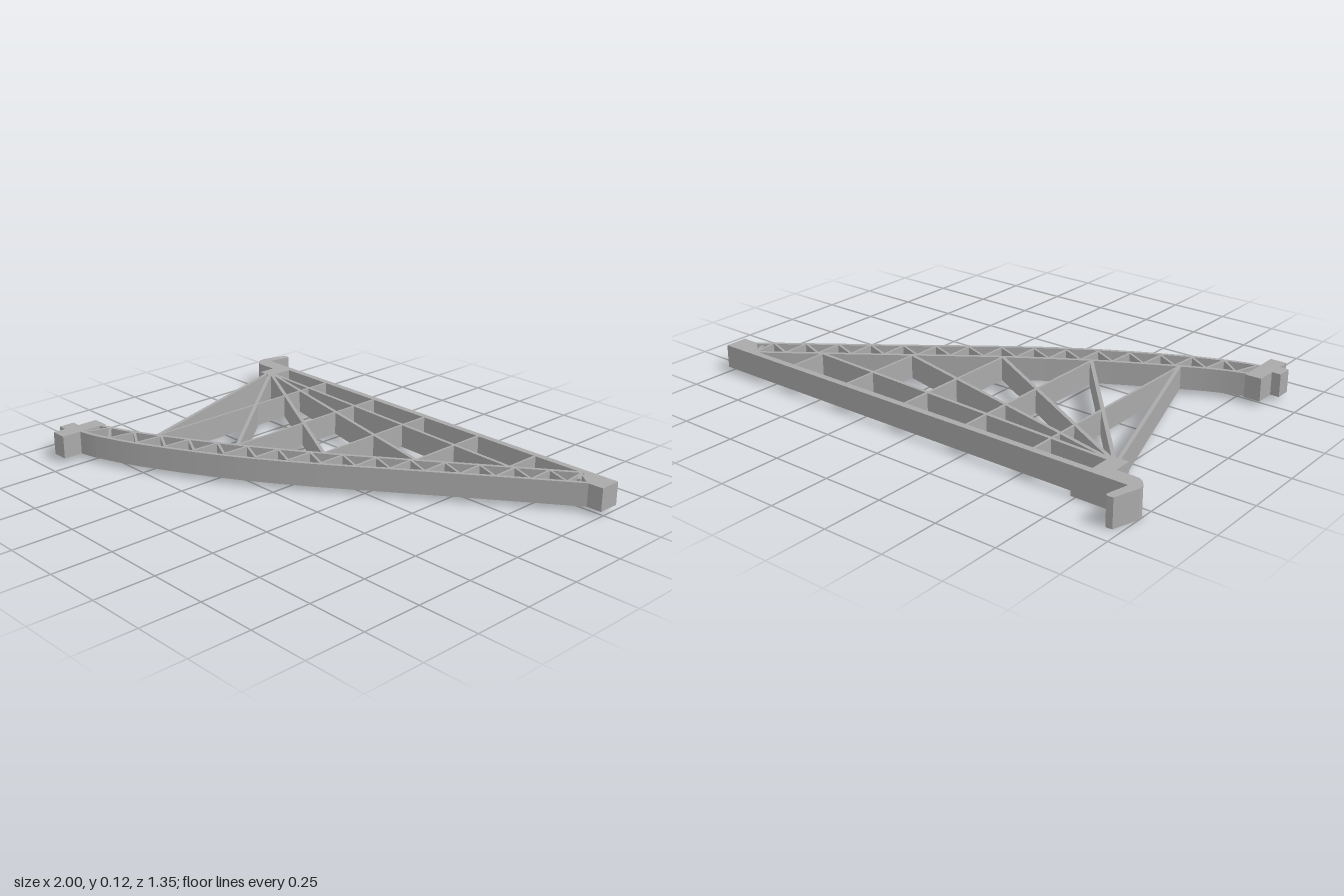
import * as THREE from 'three';

const BASE = 0.02, TOP = 0.115;
const grey = new THREE.MeshStandardMaterial({ color: 0xaaaaaa });
grey.name = 'plain grey';

// Prism from a plan outline of [x, z] points, between two heights
function slab(name, points, y0 = BASE, y1 = TOP) {
  const shape = new THREE.Shape(points.map(([x, z]) => new THREE.Vector2(x, -z)));
  const geo = new THREE.ExtrudeGeometry(shape, { depth: y1 - y0, bevelEnabled: false });
  geo.rotateX(-Math.PI / 2).translate(0, y0, 0);
  const mesh = new THREE.Mesh(geo, grey);
  mesh.name = name;
  return mesh;
}

const rect = (x0, z0, x1, z1) => [[x0, z0], [x1, z0], [x1, z1], [x0, z1]];

// Straight upright strip between two plan points
function strut(name, [x0, z0], [x1, z1], width, y0 = BASE, y1 = TOP) {
  const len = Math.hypot(x1 - x0, z1 - z0);
  const mesh = new THREE.Mesh(new THREE.BoxGeometry(len, y1 - y0, width), grey);
  mesh.position.set((x0 + x1) / 2, (y0 + y1) / 2, (z0 + z1) / 2);
  mesh.rotation.y = -Math.atan2(z1 - z0, x1 - x0);
  mesh.name = name;
  return mesh;
}

const spline = pts => new THREE.SplineCurve(pts.map(([x, z]) => new THREE.Vector2(x, z)));

// Curved chord: one plan edge is the curve, the other is offset to one side
function chord(name, curve, offset) {
  const n = 48, edge = [], back = [];
  for (let i = 0; i <= n; i++) {
    const p = curve.getPoint(i / n), t = curve.getTangent(i / n);
    edge.push([p.x, p.y]);
    back.unshift([p.x - t.y * offset, p.y + t.x * offset]);
  }
  return slab(name, [...edge, ...back]);
}

// Point on a curve at a given x
function atX(curve, x) {
  let lo = 0, hi = 1;
  for (let i = 0; i < 30; i++) {
    const mid = (lo + hi) / 2;
    if (curve.getPoint(mid).x < x) lo = mid; else hi = mid;
  }
  return { p: curve.getPoint(lo), t: curve.getTangent(lo) };
}

export function createModel() {
  const model = new THREE.Group();
  model.name = 'trussFrame';

  // Straight back rail and its end block
  model.add(slab('backRail', rect(-0.82, -0.578, 0.9, -0.55)));
  model.add(slab('railEndBlock', [[0.87, -0.578], [1, -0.578], [1, -0.484], [0.93, -0.484], [0.87, -0.53]]));

  // Hooked corner, reaching lower than the rest, with its foot under the rail
  model.add(slab('cornerHook', [
    [-0.945, -0.68], [-0.968, -0.677], [-1, -0.575], [-0.997, -0.55], [-0.98, -0.525], [-0.955, -0.512],
    [-0.866, -0.512], [-0.866, -0.436], [-0.797, -0.436], [-0.797, -0.578],
    [-0.957, -0.578], [-0.936, -0.67],
  ], 0));
  model.add(slab('railFoot', rect(-0.8, -0.578, -0.73, -0.55), 0, BASE));

  // Curved truss chords
  const inner = spline([[-0.81, 0.482], [-0.7, 0.445], [-0.556, 0.377], [-0.25, 0.208],
    [0.05, 0.015], [0.337, -0.19], [0.63, -0.402], [0.85, -0.56]]);
  const outer = spline([[-0.81, 0.593], [-0.7, 0.568], [-0.5, 0.488], [-0.18, 0.318],
    [0.086, 0.142], [0.353, -0.056], [0.62, -0.254], [0.935, -0.484]]);
  model.add(chord('innerChord', inner, 0.016));
  model.add(chord('outerChord', outer, -0.016));

  // Zigzag lacing between the chords
  const lacing = new THREE.Group();
  lacing.name = 'lacing';
  const pitch = 0.1077;
  const onInner = x => {
    const { p, t } = atX(inner, x);
    return [p.x - t.y * 0.01, p.y + t.x * 0.01];
  };
  const onOuter = x => {
    const { p, t } = atX(inner, x);
    return [p.x - t.y * 0.107, p.y + t.x * 0.107];
  };
  for (let i = 0; i < 16; i++) {
    const x = -0.755 + i * pitch, node = onInner(x);
    if (i > 0) lacing.add(strut('lace', onOuter(x - pitch / 2), node, 0.01));
    else lacing.add(strut('lace', [-0.79, 0.585], node, 0.01));
    if (i < 15) lacing.add(strut('lace', node, onOuter(x + pitch / 2), 0.01));
    else lacing.add(strut('lace', node, [0.885, -0.49], 0.01));
  }
  model.add(lacing);

  // Fan braces from the hooked corner and cross ribs from the rail
  const starts = [[-0.83, -0.445], [-0.815, -0.45], [-0.81, -0.455], [-0.81, -0.46], [-0.81, -0.463]];
  [-0.553, -0.251, 0.045, 0.34, 0.631].forEach((x, i) => {
    const end = atX(inner, x).p, start = starts[i], tip = [end.x, end.y + 0.006];
    model.add(strut('fanBrace', start, tip, 0.015));
    model.add(strut('crossRib', [x, -0.555], tip, 0.01));
    // Short foot under the braces that lean along the rail
    if (i > 1) {
      const f = (-0.735 - start[0]) / (tip[0] - start[0]);
      model.add(strut('braceFoot', start, [-0.735, start[1] + f * (tip[1] - start[1])], 0.015, 0, BASE));
    }
  });

  // Front end cap with side tab
  model.add(slab('frontEndCap', [
    [-0.866, 0.468], [-0.797, 0.468], [-0.797, 0.672], [-0.866, 0.672],
    [-0.866, 0.618], [-0.904, 0.618], [-0.904, 0.553], [-0.866, 0.553],
  ]));
  return model;
}
